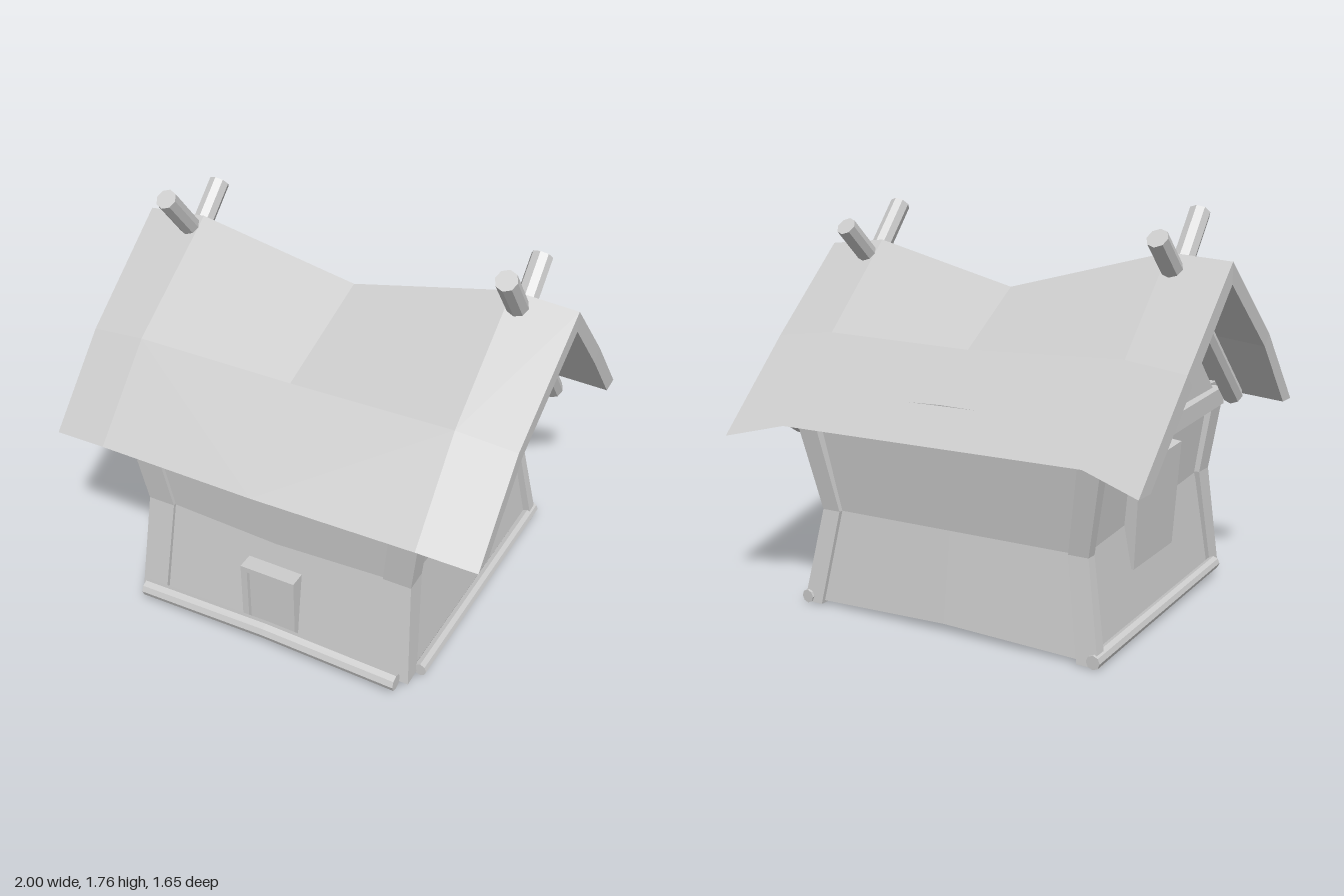
import * as THREE from 'three';

const planed = new THREE.MeshStandardMaterial({ color: 0xcccccc });
const faceted = new THREE.MeshStandardMaterial({ color: 0xcccccc, flatShading: true });

// Solid through matching cross-section loops (even point count), capped, one normal per quad
function loft(rings) {
  const V = rings.map(r => r.map(p => new THREE.Vector3(...p)));
  const n = V[0].length, end = V.length - 1;
  const quads = [];
  for (let i = 0; i < end; i++) {
    for (let j = 0; j < n; j++) {
      const k = (j + 1) % n;
      const q = [V[i][j], V[i][k], V[i + 1][k], V[i + 1][j]];
      // the second half splits along the other diagonal, so shapes stay symmetrical
      quads.push(i < end / 2 ? q : [q[1], q[2], q[3], q[0]]);
    }
  }
  for (let j = 0; j < n / 2 - 1; j++) {
    const strip = [j, j + 1, n - 2 - j, n - 1 - j];
    quads.push(strip.map(k => V[0][k]).reverse(), strip.map(k => V[end][k]));
  }
  let volume = 0;
  for (const [a, b, c, d] of quads) {
    volume += a.dot(b.clone().cross(c)) + a.dot(c.clone().cross(d));
  }
  const points = [], normals = [];
  for (const quad of quads) {
    const [a, b, c, d] = volume < 0 ? [...quad].reverse() : quad;
    const normal = c.clone().sub(a).cross(d.clone().sub(b)).normalize();
    points.push(a, b, c, a, c, d);
    for (let i = 0; i < 6; i++) normals.push(...normal.toArray());
  }
  const g = new THREE.BufferGeometry().setFromPoints(points);
  g.setAttribute('normal', new THREE.Float32BufferAttribute(normals, 3));
  return g;
}

// Straight eight-sided log between two points
function log(a, b, r) {
  const p = new THREE.Vector3(...a), q = new THREE.Vector3(...b);
  const dir = q.clone().sub(p);
  const g = new THREE.CylinderGeometry(r, r, dir.length(), 8);
  g.applyQuaternion(new THREE.Quaternion().setFromUnitVectors(new THREE.Vector3(0, 1, 0), dir.normalize()));
  return g.translate(...p.add(q).multiplyScalar(0.5).toArray());
}

// Rectangle in plan between x0..x1 and z0..z1
const rect = (x0, x1, z0, z1, y) => [[x0, y, z0], [x1, y, z0], [x1, y, z1], [x0, y, z1]];

export function createModel() {
  const model = new THREE.Group();
  const add = (name, geometry, material = planed) => {
    const m = new THREE.Mesh(geometry, material);
    m.name = name;
    model.add(m);
  };

  // Pinched house body: half widths, heights and depths at front and back of each ring
  const bodyRing = (xf, xb, yf, yfMid, yb, ybMid, zf, zb) => [
    [-xf, yf, zf], [0, yfMid, zf], [xf, yf, zf], [xb, yb, zb], [0, ybMid, zb], [-xb, yb, zb],
  ];
  add('walls', loft([
    bodyRing(0.65, 0.70, 0.05, 0.06, 0.02, 0.04, 0.70, -0.62),
    bodyRing(0.61, 0.63, 0.52, 0.49, 0.43, 0.43, 0.635, -0.565),
    bodyRing(0.66, 0.69, 0.93, 0.97, 0.955, 0.972, 0.675, -0.622),
  ]));

  // Sagging roof slab: each section runs from front eave over the ridge to back eave
  const roofSection = (x, top) => {
    const inset = [[0, -0.1], [-0.05, -0.05], [-0.09, 0], [-0.05, 0.05], [0, 0.1]];
    const under = top.map(([w, y, z], i) => [x * w, y + inset[i][0], z + inset[i][1]]);
    return [...top.map(([w, y, z]) => [x * w, y, z]), ...under.reverse()];
  };
  const endRow = [[0.97, 0.86, 0.80], [0.975, 1.20, 0.47], [1, 1.55, -0.045], [0.995, 1.16, -0.45], [0.985, 0.77, -0.83]];
  const shoulder = [[1, 0.88, 0.82], [1, 1.23, 0.485], [1, 1.575, -0.04], [1, 1.19, -0.42], [1, 0.83, -0.76]];
  const middle = [[1, 0.87, 0.82], [1, 1.22, 0.48], [1, 1.40, -0.08], [1, 1.17, -0.42], [1, 0.83, -0.76]];
  add('roof', loft([
    roofSection(-1, endRow), roofSection(-0.72, shoulder), roofSection(0, middle),
    roofSection(0.72, shoulder), roofSection(1, endRow),
  ]));

  for (const s of [1, -1]) {
    const side = s > 0 ? 'left' : 'right';
    const solid = (name, rings) =>
      add(side + name, loft(rings.map(ring => ring.map(([x, y, z]) => [s * x, y, z]))));

    // Bent corner posts
    solid('FrontPost', [
      rect(0.545, 0.67, 0.63, 0.72, 0.05),
      rect(0.51, 0.637, 0.545, 0.65, 0.52),
      rect(0.56, 0.688, 0.58, 0.69, 0.89),
    ]);
    solid('BackPost', [
      rect(0.64, 0.735, -0.64, -0.58, 0.01),
      rect(0.57, 0.66, -0.585, -0.535, 0.43),
      rect(0.64, 0.74, -0.645, -0.585, 0.82),
    ]);

    // Gable wall under the crossed rafters
    const gable = x => [[x, 0.86, 0.61], [x, 0.79, -0.61], [x, 1.49, -0.05], [x, 1.49, -0.03]];
    solid('Gable', [gable(0.64), gable(0.69)]);

    // Tie beam across the gable foot
    const tie = (x0, x1, y, z) => [[x0, y, z], [x1, y, z], [x1, y + 0.08, z], [x0, y + 0.08, z]];
    solid('TieBeam', [tie(0.64, 0.725, 0.845, 0.595), tie(0.65, 0.745, 0.77, -0.59)]);

    // Window panel, leaning with the wall
    const pane = (top, bottom, drop) => [
      [top, 0.755 - drop, 0.20], [top, 0.725 - drop, -0.215], [bottom, 0.27, -0.195], [bottom, 0.285, 0.185],
    ];
    solid('Window', [pane(0.60, 0.60, 0), pane(0.695, 0.667, 0.012)]);

    // Crossed rafter poles reaching past the ridge
    add(side + 'FrontRafter', log([s * 0.765, 0.885, 0.61], [s * 0.765, 1.645, -0.245], 0.046), faceted);
    add(side + 'BackRafter', log([s * 0.765, 0.785, -0.61], [s * 0.765, 1.73, 0.165], 0.046), faceted);

    // Side sill log
    add(side + 'Sill', log([s * 0.685, 0.066, 0.635], [s * 0.715, 0.034, -0.645], 0.03), faceted);
  }

  // Front sill log, bowed up in the middle
  const sill = new THREE.CylinderGeometry(0.037, 0.037, 1.26, 8, 2).rotateZ(Math.PI / 2);
  const sp = sill.attributes.position;
  for (let i = 0; i < sp.count; i++) {
    sp.setY(i, sp.getY(i) + 0.015 * (1 - Math.abs(sp.getX(i)) / 0.63));
  }
  add('frontSill', sill.translate(0, 0.073, 0.752), faceted);

  // Door frame with a recessed door
  const frame = new THREE.Shape([
    [-0.13, 0.06], [-0.10, 0.06], [-0.10, 0.36], [0.10, 0.36],
    [0.10, 0.06], [0.13, 0.06], [0.13, 0.385], [-0.13, 0.385],
  ].map(p => new THREE.Vector2(...p)));
  add('doorFrame', new THREE.ExtrudeGeometry(frame, { depth: 0.09, bevelEnabled: false }).translate(0, 0, 0.635));
  add('door', new THREE.BoxGeometry(0.20, 0.30, 0.06).translate(0, 0.21, 0.675));

  return model;
}
